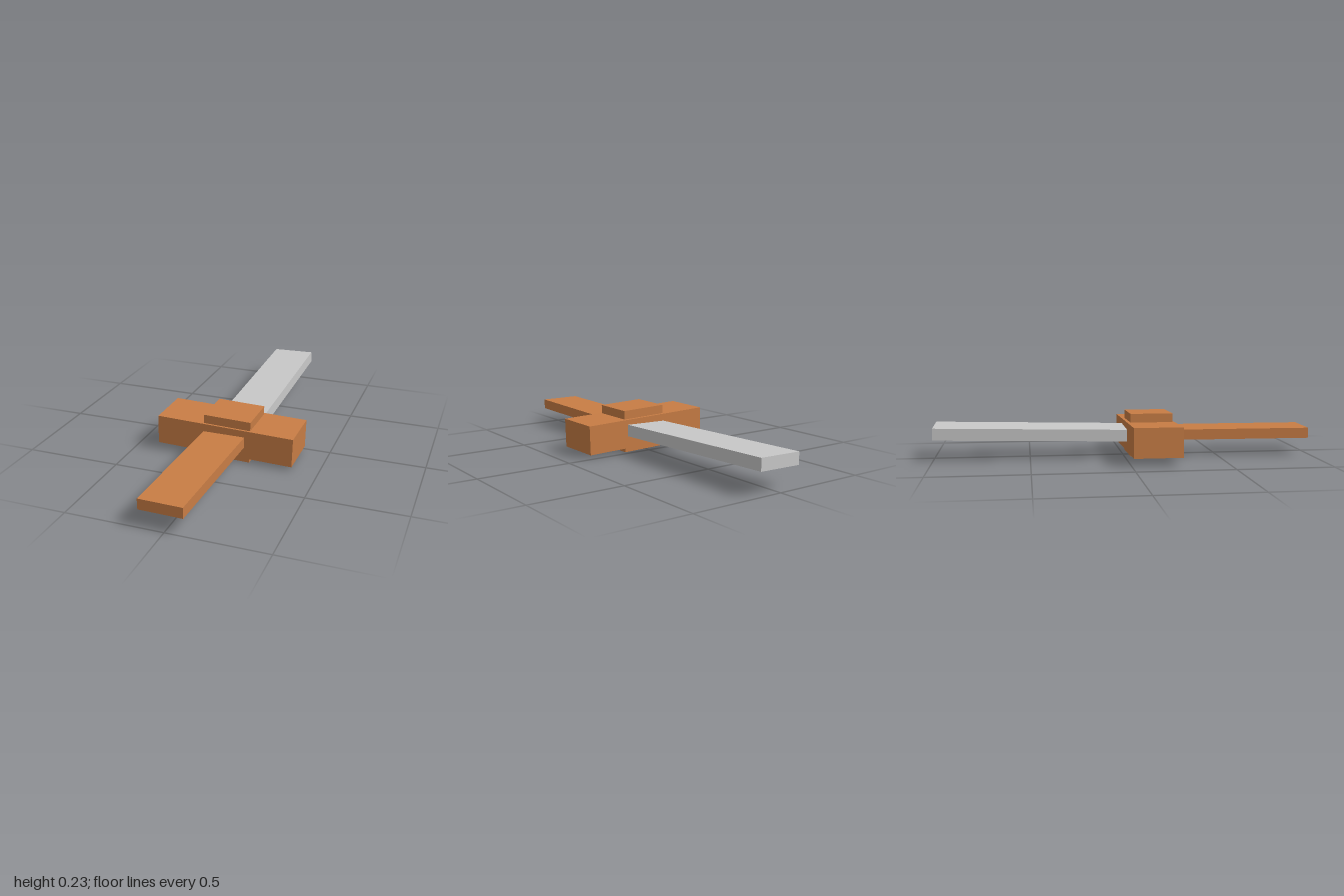
import * as THREE from 'three';

export function createModel() {
  const model = new THREE.Group();
  model.name = 'sword';

  const wood = new THREE.MeshStandardMaterial({ color: 0xc87d45 });
  wood.name = 'orange brown wood';
  const steel = new THREE.MeshStandardMaterial({ color: 0xc8c8c8 });
  steel.name = 'light grey steel';

  const addBox = (name, material, size, position, rotation) => {
    const mesh = new THREE.Mesh(new THREE.BoxGeometry(...size), material);
    mesh.name = name;
    mesh.position.set(...position);
    mesh.rotation.set(...rotation);
    model.add(mesh);
  };

  // Crossguard and the block through its middle share a slight roll
  const roll = -0.0285;
  addBox('crossguard', wood, [0.733, 0.154, 0.252], [0, 0.108, 0.136], [0, 0, roll]);
  addBox('guardBlock', wood, [0.252, 0.226, 0.223], [0.012, 0.118, 0.139], [0, 0, roll]);

  // Handle runs forward from inside the guard, turned slightly to the right
  addBox('handle', wood, [0.222, 0.055, 0.78], [-0.007, 0.119, 0.607], [0, -0.0235, 0]);

  // Blade runs backward, tilted slightly upward
  addBox('blade', steel, [0.234, 0.062, 1.06], [0.010, 0.133, -0.469], [0.025, 0.0065, 0.022]);

  return model;
}
